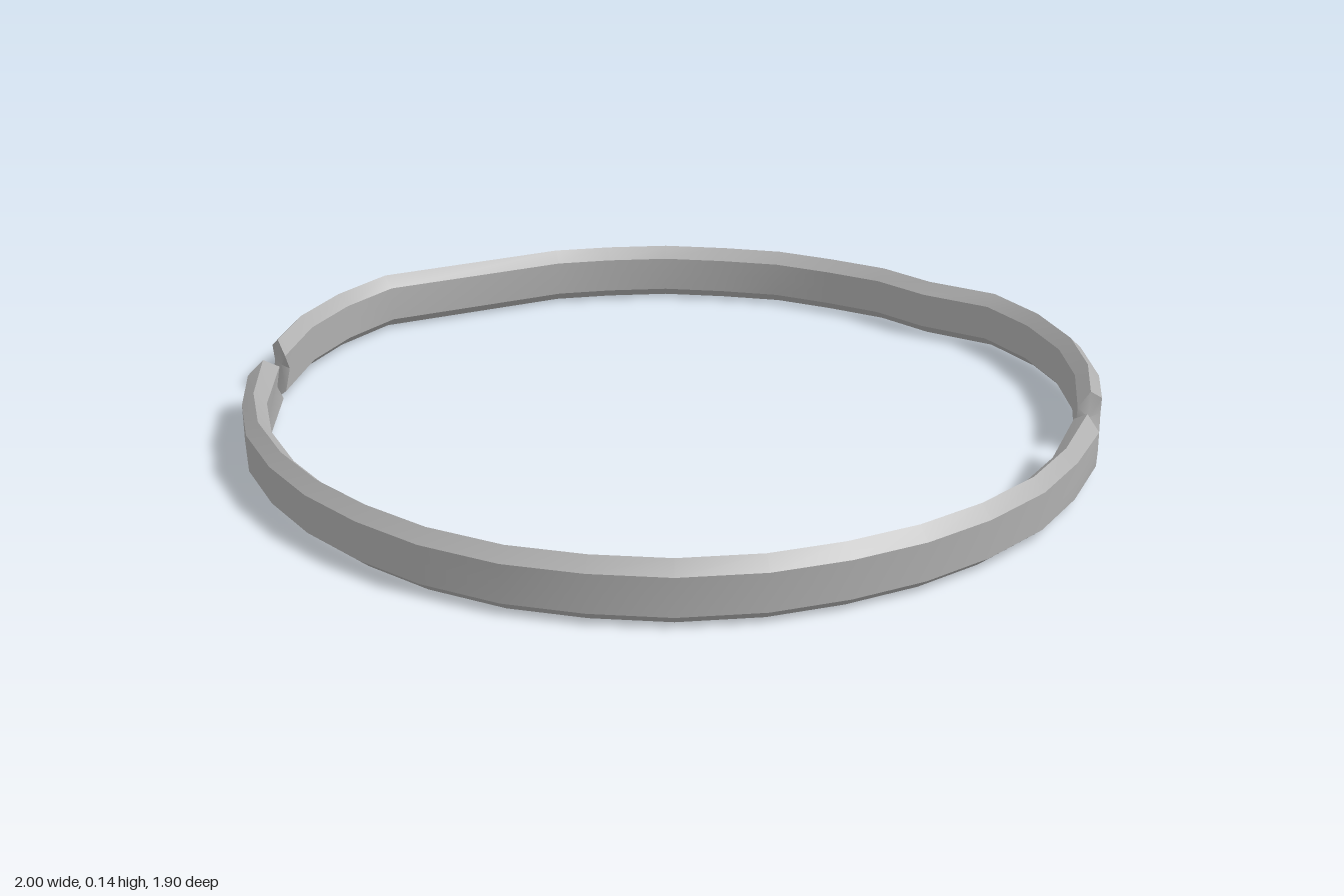
import * as THREE from 'three';
import { toCreasedNormals } from 'three/addons/utils/BufferGeometryUtils.js';

// Cross-section: [offset outward, height, distance of the broken end from z = 0]
const W = 0.028;
const SECTION = [
  [W, 0.025, 0.09], [W, 0.07, 0.11], [W, 0.112, 0.1], [0, 0.14, 0.066],
  [-W, 0.112, 0.033], [-W, 0.07, 0.058], [-W, 0.025, 0.022], [0, 0, 0.04],
];

// Centre lines [x, z] of both halves
const FRONT_HALF = [
  [0, 0.917], [0.168, 0.905], [0.34, 0.855], [0.488, 0.778], [0.625, 0.68],
  [0.742, 0.562], [0.845, 0.418], [0.912, 0.262], [0.96, 0.07],
];
const FRONT = [...FRONT_HALF.slice(1).reverse().map(([x, z]) => [-x, z]), ...FRONT_HALF];
const BACK = [
  [0.97, -0.08], [0.966, -0.233], [0.928, -0.4], [0.848, -0.555], [0.738, -0.683],
  [0.568, -0.748], [0.443, -0.833], [0.298, -0.883], [0.153, -0.922], [0, -0.927],
  [-0.16, -0.92], [-0.313, -0.88], [-0.448, -0.83], [-0.848, -0.557],
  [-0.925, -0.4], [-0.968, -0.233], [-0.97, -0.08],
];

// Sweeps the section along a path, with jagged caps at both ends
function brokenBand(path, side) {
  const pos = [], index = [];
  const n = SECTION.length, last = path.length - 1;
  const pts = path.map(([x, z]) => new THREE.Vector2(x, z));
  pts.forEach((p, i) => {
    const a = pts[Math.min(i, last - 1) + 1].clone().sub(pts[Math.min(i, last - 1)]).normalize();
    const b = i > 0 ? p.clone().sub(pts[i - 1]).normalize() : a;
    const t = a.clone().add(b).normalize();
    const miter = 1 / t.dot(a);
    const isEnd = i === 0 || i === last;
    for (const [off, y, endZ] of SECTION) {
      const x = p.x - t.y * off * miter;
      const z = p.y + t.x * off * miter;
      pos.push(x, y, isEnd ? side * endZ : z);
    }
  });
  for (let i = 0; i < last; i++) {
    for (let j = 0; j < n; j++) {
      const k = (j + 1) % n;
      const a = i * n + j, b = a + n, c = (i + 1) * n + k, d = i * n + k;
      index.push(a, b, c, a, c, d);
    }
  }
  // Hollowed break faces
  for (const i of [0, last]) {
    const centre = pos.length / 3;
    pos.push(pts[i].x, 0.07, side * 0.078);
    for (let j = 0; j < n; j++) {
      const a = i * n + j, b = i * n + (j + 1) % n;
      index.push(centre, ...(i === 0 ? [a, b] : [b, a]));
    }
  }
  const geo = new THREE.BufferGeometry();
  geo.setAttribute('position', new THREE.Float32BufferAttribute(pos, 3));
  geo.setIndex(index);
  return toCreasedNormals(geo, 0.6);
}

export function createModel() {
  const metal = new THREE.MeshStandardMaterial({ color: 0xb0b0b0 });
  metal.name = 'grey metal';
  const group = new THREE.Group();
  group.name = 'brokenRing';
  const halves = [['frontHalf', FRONT, 1], ['dentedBackHalf', BACK, -1]];
  for (const [name, path, side] of halves) {
    const mesh = new THREE.Mesh(brokenBand(path, side), metal);
    mesh.name = name;
    group.add(mesh);
  }
  return group;
}
